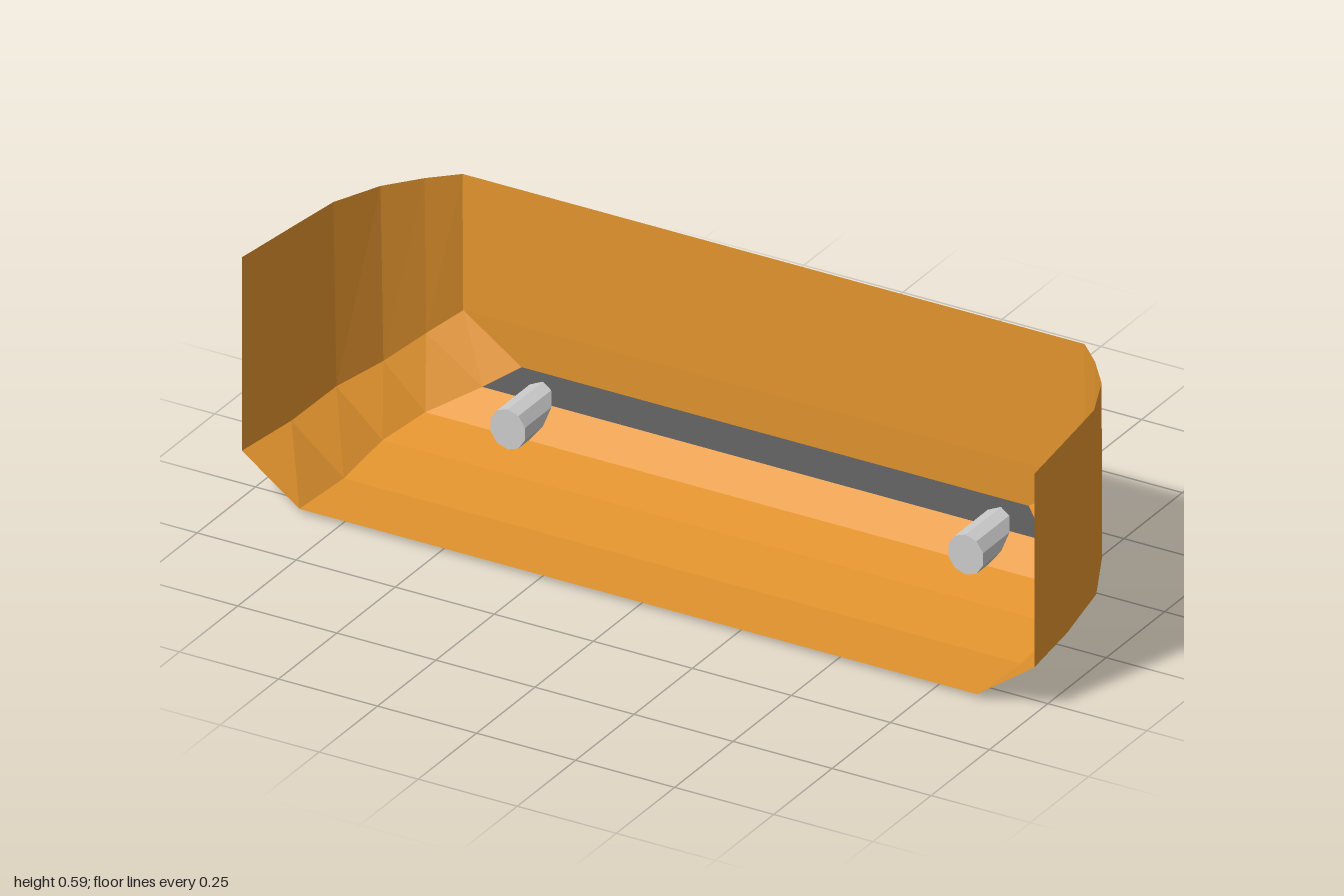
import * as THREE from 'three';

const orange = new THREE.MeshStandardMaterial({ color: 0xe3942e, flatShading: true, side: THREE.DoubleSide });
const black = new THREE.MeshStandardMaterial({ color: 0x222222, flatShading: true, side: THREE.DoubleSide });
const grey = new THREE.MeshStandardMaterial({ color: 0xcccccc, flatShading: true });

const TOP = 0.592;
// Stations from the open front to the back: top rim, foot of the side wall, edge of the floor
const stations = [
  [[1, TOP, 0.308], [1, 0.117, 0.308], [0.855, 0.013, 0.308]],
  [[0.979, TOP, 0.135], [0.979, 0.117, 0.132], [0.855, 0.002, 0.118]],
  [[0.96, TOP, -0.016], [0.959, 0.135, -0.027], [0.853, 0.023, -0.045]],
  [[0.91, TOP, -0.133], [0.907, 0.16, -0.14], [0.813, 0.05, -0.16]],
  [[0.846, TOP, -0.213], [0.844, 0.211, -0.216], [0.71, 0.108, -0.23]],
  [[0.785, TOP, -0.272], [0.785, 0.256, -0.275], [0.64, 0.153, -0.279]],
];
const mirror = ([x, y, z]) => [-x, y, z];

// Sheet of quads between neighbouring rows of points
function sheet(name, rows, material) {
  const pos = [];
  for (let i = 0; i < rows.length - 1; i++) {
    for (let j = 0; j < rows[i].length - 1; j++) {
      const a = rows[i][j], b = rows[i][j + 1], c = rows[i + 1][j + 1], d = rows[i + 1][j];
      pos.push(...a, ...b, ...c, ...a, ...c, ...d);
    }
  }
  const geo = new THREE.BufferGeometry();
  geo.setAttribute('position', new THREE.Float32BufferAttribute(pos, 3));
  geo.computeVertexNormals();
  const mesh = new THREE.Mesh(geo, material);
  mesh.name = name;
  return mesh;
}

// Short tube with a vertical front end and a raked back end
function exhaustPipe(name, x) {
  const geo = new THREE.CylinderGeometry(0.046, 0.046, 0.185, 10);
  geo.rotateX(Math.PI / 2);
  geo.scale(1, 1.07, 1);
  const p = geo.attributes.position;
  for (let i = 0; i < p.count; i++) {
    if (p.getZ(i) < 0) p.setZ(i, p.getZ(i) + p.getY(i) * 0.13);
  }
  geo.computeVertexNormals();
  const mesh = new THREE.Mesh(geo, grey);
  mesh.name = name;
  mesh.position.set(x, 0.091, -0.207);
  return mesh;
}

export function createModel() {
  const group = new THREE.Group();
  group.name = 'bumper';

  // Curved side walls with their bevelled lower edge
  group.add(sheet('leftSide', stations, orange));
  group.add(sheet('rightSide', stations.map((s) => s.map(mirror).reverse()), orange));

  // Back panel, narrowing towards the floor
  const back = stations[5];
  group.add(sheet('backPanel', back.map((p) => [p, mirror(p)]), orange));

  // Curved floor with a dark strip along its back edge
  const floor = stations.map((s) => [mirror(s[2]), s[2]]);
  group.add(sheet('floor', floor.slice(0, 5), orange));
  group.add(sheet('darkStrip', floor.slice(4), black));

  // Pair of pipes through the floor
  group.add(exhaustPipe('leftPipe', 0.578), exhaustPipe('rightPipe', -0.578));
  return group;
}
